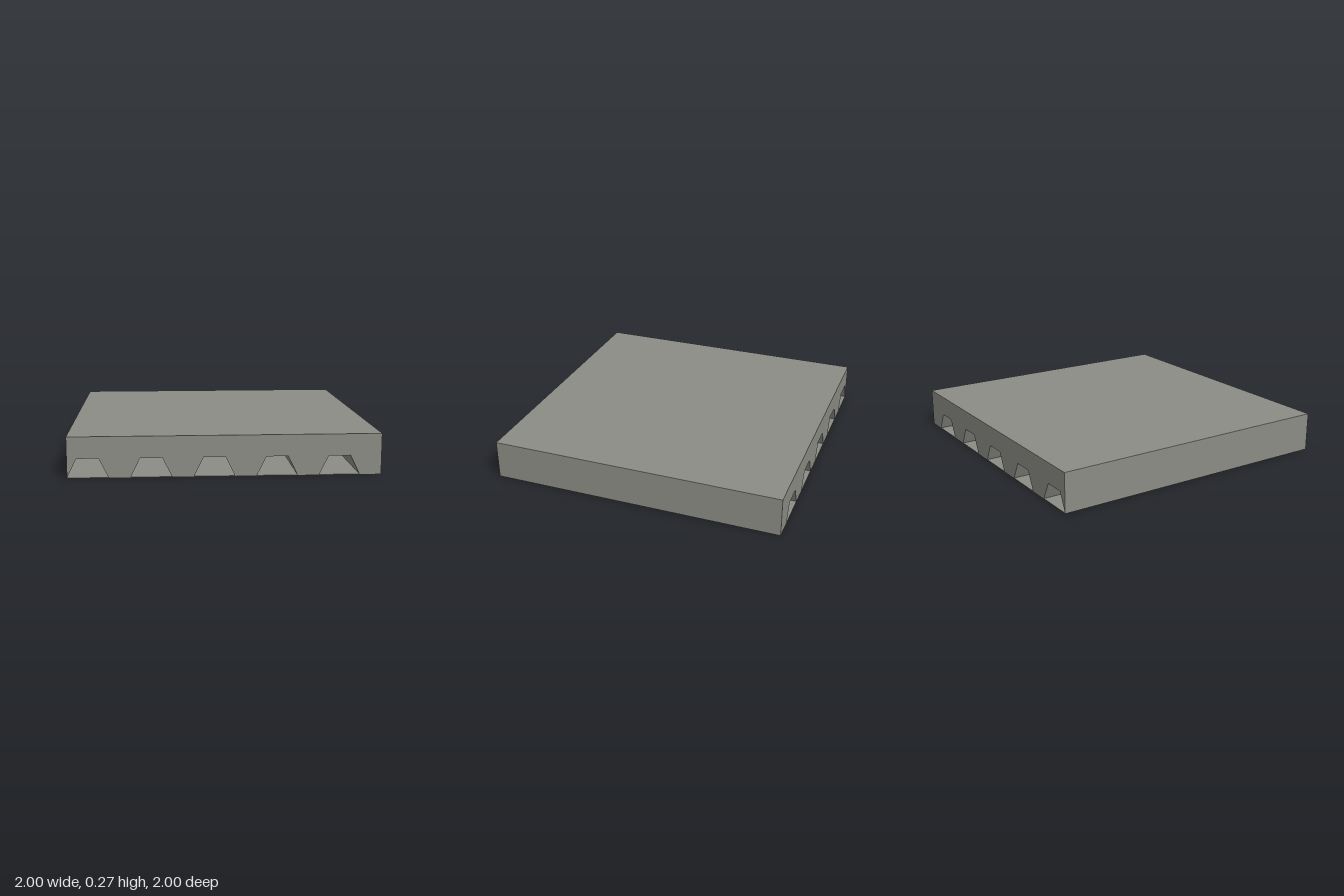
import * as THREE from 'three';

const HEIGHT = 0.267, FLOOR = 0.004, CHANNEL_TOP = 0.127;
const CHANNELS = 5, PITCH = 0.4;

export function createModel() {
  const group = new THREE.Group();
  group.name = 'ribbedSlab';
  const concrete = new THREE.MeshStandardMaterial({ color: 0x8c8c86 });
  concrete.name = 'concrete grey';

  // Slab cross-section with a row of trapezoid channels along its underside
  const profile = new THREE.Shape();
  profile.moveTo(-1, FLOOR);
  for (let i = 0; i < CHANNELS; i++) {
    const x = -1 + i * PITCH;
    if (i > 0) profile.lineTo(x, FLOOR);
    profile.lineTo(x + 0.06, CHANNEL_TOP);
    profile.lineTo(x + 0.20, CHANNEL_TOP);
    profile.lineTo(x + 0.26, FLOOR);
  }
  profile.lineTo(1, FLOOR);
  profile.lineTo(1, HEIGHT);
  profile.lineTo(-1, HEIGHT);
  profile.closePath();

  const slabGeometry = new THREE.ExtrudeGeometry(profile, { depth: 2, bevelEnabled: false });
  slabGeometry.translate(0, 0, -1);
  const slab = new THREE.Mesh(slabGeometry, concrete);
  slab.name = 'slab';
  group.add(slab);

  // Thin sheet closing the channels from below
  const sheet = new THREE.Mesh(new THREE.BoxGeometry(2, FLOOR, 2), concrete);
  sheet.name = 'bottomSheet';
  sheet.position.y = FLOOR / 2;
  group.add(sheet);

  return group;
}
